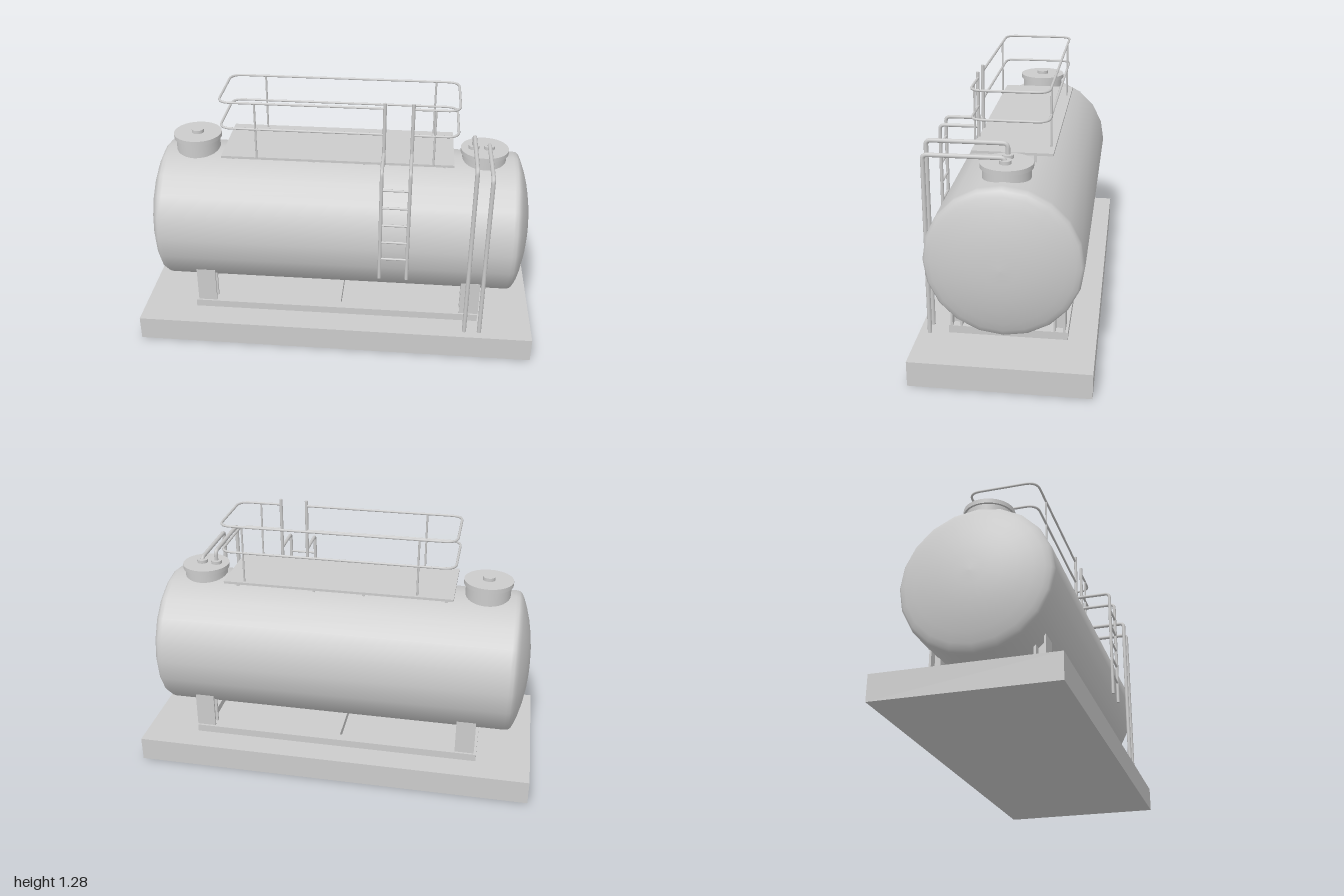
import * as THREE from 'three';
import { mergeGeometries } from 'three/addons/utils/BufferGeometryUtils.js';

const material = new THREE.MeshStandardMaterial({ color: 0xcccccc });
const V = (x, y, z) => new THREE.Vector3(x, y, z);

export function createModel() {
  const model = new THREE.Group();
  model.name = 'storageTank';

  const add = (name, geometry, x = 0, y = 0, z = 0) => {
    const mesh = new THREE.Mesh(geometry, material);
    mesh.name = name;
    mesh.position.set(x, y, z);
    model.add(mesh);
    return mesh;
  };
  // Box given by its lower and upper limits
  const box = (name, x0, x1, y0, y1, z0, z1) =>
    add(name, new THREE.BoxGeometry(x1 - x0, y1 - y0, z1 - z0), (x0 + x1) / 2, (y0 + y1) / 2, (z0 + z1) / 2);
  const disc = (name, r, y0, y1, x, z = -0.003, sides = 32) =>
    add(name, new THREE.CylinderGeometry(r, r, y1 - y0, sides), x, (y0 + y1) / 2, z);

  // Capped round bar along a polyline with rounded bends
  const bar = (name, points, radius, bend = 0.03, segments = 120) => {
    const path = new THREE.CurvePath();
    let from = points[0];
    for (let i = 1; i < points.length - 1; i++) {
      const p = points[i];
      const a = p.clone().add(points[i - 1].clone().sub(p).setLength(bend));
      const b = p.clone().add(points[i + 1].clone().sub(p).setLength(bend));
      path.add(new THREE.LineCurve3(from, a));
      path.add(new THREE.QuadraticBezierCurve3(a, p, b));
      from = b;
    }
    const last = points[points.length - 1];
    path.add(new THREE.LineCurve3(from, last));
    const count = points.length === 2 ? 1 : segments;
    const cap = (end, inner) => {
      const direction = end.clone().sub(inner);
      return new THREE.CircleGeometry(radius, 8).lookAt(direction).translate(end.x, end.y, end.z);
    };
    return add(name, mergeGeometries([
      new THREE.TubeGeometry(path, count, radius, 8),
      cap(points[0], points[1]),
      cap(last, points[points.length - 2]),
    ]), 0, 0, 0);
  };

  // Foundation slab
  box('foundationSlab', -1, 1, 0, 0.122, -0.412, 0.412);

  // Skid frame
  for (const s of [-1, 1]) {
    const z = s * 0.252 - 0.003;
    box('skidRail', -0.73, 0.73, 0.122, 0.16, z - 0.025, z + 0.025);
  }
  for (const x of [-0.705, 0, 0.705]) box('skidCrossbar', x - 0.025, x + 0.025, 0.122, 0.16, -0.23, 0.224);

  // I-section legs
  for (const x of [-0.67, 0.685]) {
    for (const s of [-1, 1]) {
      const z = s * 0.239 - 0.002;
      for (const f of [-1, 1]) {
        const zf = z + f * 0.0225;
        box('legFlange', x - 0.048, x + 0.048, 0.16, 0.345, zf - 0.005, zf + 0.005);
      }
      box('legWeb', x - 0.005, x + 0.005, 0.16, 0.345, z - 0.02, z + 0.02);
    }
  }

  // Tank shell with dished ends
  const half = [
    [0.354, 0.86], [0.351, 0.878], [0.341, 0.89], [0.318, 0.902], [0.275, 0.918],
    [0.21, 0.936], [0.14, 0.949], [0.07, 0.956], [0, 0.958],
  ];
  const profile = [
    ...half.slice().reverse().map(([r, h]) => new THREE.Vector2(r, -h)),
    ...half.map(([r, h]) => new THREE.Vector2(r, h)),
  ];
  add('tankShell', new THREE.LatheGeometry(profile, 20).rotateZ(-Math.PI / 2), 0.003, 0.571, -0.005);

  // Manways
  disc('leftEndManwayNeck', 0.11, 0.88, 0.982, -0.72);
  disc('leftEndManwayLid', 0.12, 0.98, 1.002, -0.72);
  disc('leftEndManwayKnob', 0.03, 1.002, 1.019, -0.72);
  disc('rightEndManwayNeck', 0.108, 0.88, 0.957, 0.717);
  disc('rightEndManwayLid', 0.118, 0.955, 0.976, 0.717);

  // Filling pipes, from the slab up and over to the lid
  for (const [x, top] of [[0.663, 1.041], [0.738, 1.0]]) {
    bar('fillingPipe', [V(x, 0.122, 0.363), V(x, top, 0.363), V(x, top, 0), V(x, 0.97, 0)], 0.0105, 0.022, 160);
    disc('pipeFlange', 0.027, 0.976, 0.992, x, 0, 20);
  }

  // Walkway and its brackets
  box('walkwayDeck', -0.565, 0.565, 0.954, 0.966, -0.19, 0.182);
  for (const x of [-0.525, -0.12, 0.13, 0.52]) {
    for (const z of [-0.105, 0.095]) box('walkwayBracket', x - 0.006, x + 0.006, 0.87, 0.955, z - 0.006, z + 0.006);
  }

  // Guard rails, open at the ladder
  const [zf, zb] = [0.18, -0.17];
  for (const y of [1.115, 1.248]) {
    bar('guardRail', [
      V(0.36, y, zf), V(0.578, y, zf), V(0.578, y, zb), V(-0.565, y, zb), V(-0.565, y, zf), V(0.227, y, zf),
    ], 0.006, 0.06, 220);
  }
  for (const x of [-0.39, 0.465]) {
    for (const z of [zf, zb]) bar('guardRailPost', [V(x, 0.96, z), V(x, 1.248, z)], 0.005);
  }

  // Ladder
  for (const x of [0.227, 0.36]) {
    bar('ladderStringer', [V(x, 0.425, 0.367), V(x, 1.015, 0.367), V(x, 1.015, 0.182)], 0.0085, 0.025);
    bar('ladderHandPost', [V(x, 0.955, 0.182), V(x, 1.275, 0.182)], 0.0085);
  }
  for (let i = 0; i < 5; i++) {
    const y = 0.537 + i * 0.095;
    bar('ladderRung', [V(0.227, y, 0.367), V(0.36, y, 0.367)], 0.006);
  }

  return model;
}
